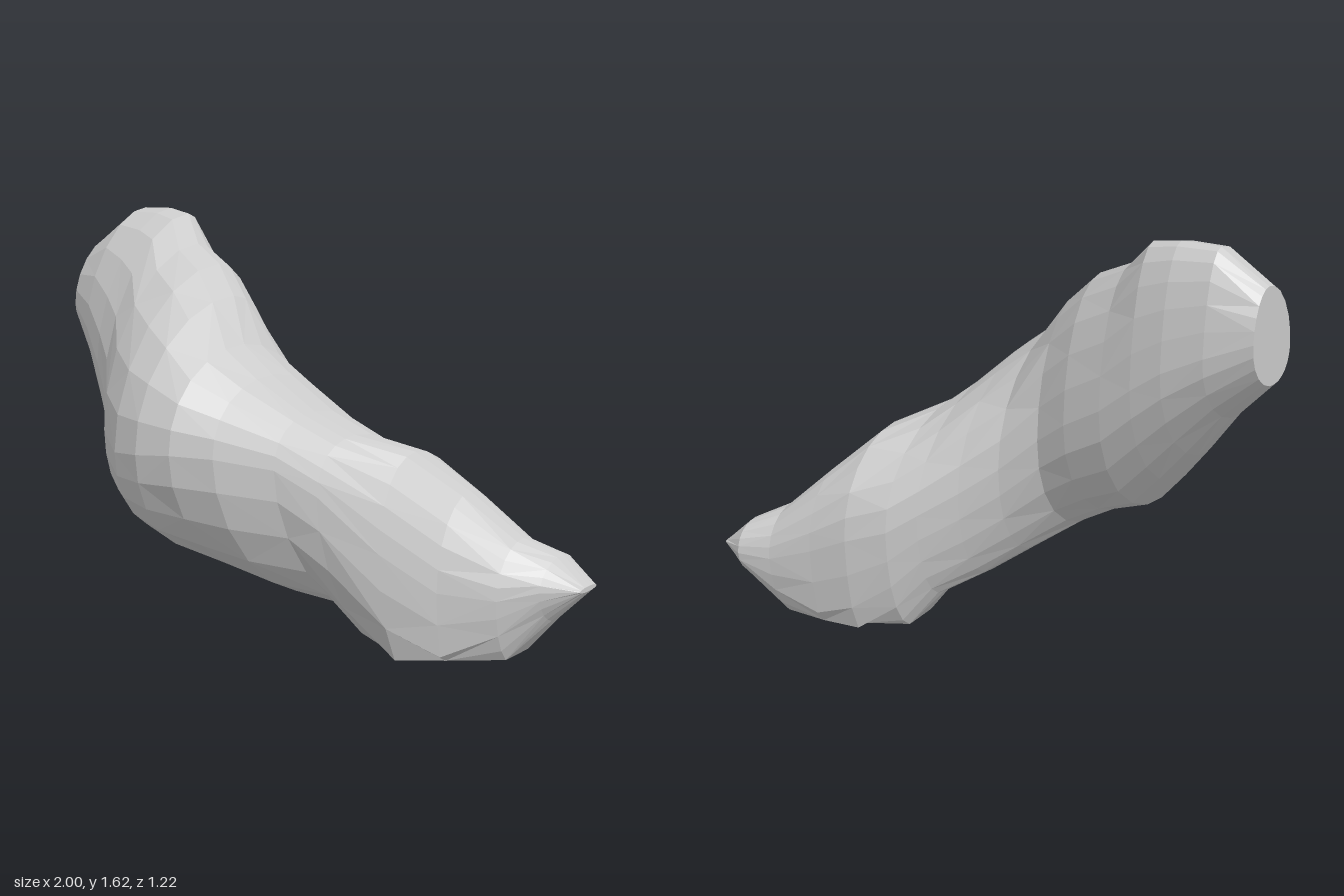
import * as THREE from 'three';

// Cross-sections along x. After x come the extents (lowest y, highest y, back z, front z),
// then where the outline touches them (z at top, y at front, z at bottom, y at back)
const SECTIONS = [
  [-1.0, 1.14, 1.5, -0.2, 0.11, -0.1, 1.24, 0.0, 1.33],
  [-0.85, 0.98, 1.62, -0.25, 0.195, -0.15, 1.16, 0.07, 1.27],
  [-0.71, 0.79, 1.62, -0.27, 0.28, -0.15, 1.04, 0.14, 1.2],
  [-0.6, 0.65, 1.6, -0.27, 0.355, -0.13, 0.94, 0.19, 1.12],
  [-0.48, 0.51, 1.49, -0.26, 0.48, -0.05, 0.83, 0.24, 1.02],
  [-0.33, 0.45, 1.42, -0.24, 0.58, 0.0, 0.78, 0.26, 0.93],
  [-0.2, 0.38, 1.31, -0.2, 0.61, 0.07, 0.79, 0.21, 0.83],
  [-0.06, 0.29, 1.15, -0.24, 0.59, 0.18, 0.8, 0.04, 0.7],
  [0.07, 0.2, 1.05, -0.31, 0.51, 0.18, 0.79, -0.08, 0.6],
  [0.2, 0.13, 0.92, -0.39, 0.335, 0.1, 0.74, -0.22, 0.51],
  [0.3, -0.02, 0.83, -0.45, 0.22, -0.01, 0.64, -0.27, 0.44],
  [0.45, -0.2, 0.76, -0.505, 0.05, -0.18, 0.42, -0.3, 0.39],
  [0.6, -0.25, 0.61, -0.53, -0.1, -0.32, 0.27, -0.33, 0.32],
  [0.77, -0.04, 0.44, -0.57, -0.23, -0.42, 0.24, -0.39, 0.26],
  [0.89, 0.14, 0.38, -0.61, -0.33, -0.5, 0.27, -0.46, 0.27],
  [1.0, 0.26, 0.28, -0.56, -0.43, -0.5, 0.27, -0.5, 0.27],
];
const ARC = 6;
const SIDES = ARC * 4;

// Oval in the y-z plane made of four conic arcs between its touching points
function oval([, y0, y1, z0, z1, zTop, yFront, zBottom, yBack]) {
  const touch = [[y1, zTop], [yFront, z1], [y0, zBottom], [yBack, z0]];
  const corners = [[y1, z1], [y0, z1], [y0, z0], [y1, z0]];
  const points = [];
  corners.forEach((corner, q) => {
    const from = touch[q], to = touch[(q + 1) % 4];
    // Long arcs are flatter, as on a slanting ellipse
    const span = Math.abs(to[0] - from[0]) / (y1 - y0) + Math.abs(to[1] - from[1]) / (z1 - z0);
    const weight = Math.sqrt(Math.max(0.05, 1 - span / 2));
    for (let j = 0; j < ARC; j++) {
      const u = j / ARC;
      const a = (1 - u) ** 2, b = 2 * weight * u * (1 - u), c = u * u;
      points.push([0, 1].map((k) => (a * from[k] + b * corner[k] + c * to[k]) / (a + b + c)));
    }
  });
  return points;
}

function bentTube() {
  const positions = [], index = [];
  // The foot is cut flat at the ground
  for (const section of SECTIONS) {
    for (const [y, z] of oval(section)) positions.push(section[0], Math.max(0, y), z);
  }
  // Faceted wall with alternating diagonals
  for (let i = 0; i < SECTIONS.length - 1; i++) {
    for (let j = 0; j < SIDES; j++) {
      const k = (j + 1) % SIDES;
      const a = i * SIDES + j, b = i * SIDES + k;
      const c = a + SIDES, d = b + SIDES;
      if ((i + j) % 2 === 0) index.push(a, b, c, b, d, c);
      else index.push(a, b, d, a, d, c);
    }
  }
  // Flat end caps
  const last = (SECTIONS.length - 1) * SIDES;
  for (let j = 1; j < SIDES - 1; j++) {
    index.push(0, j + 1, j);
    index.push(last, last + j, last + j + 1);
  }
  const geometry = new THREE.BufferGeometry();
  geometry.setAttribute('position', new THREE.Float32BufferAttribute(positions, 3));
  geometry.setIndex(index);
  geometry.computeVertexNormals();
  return geometry;
}

export function createModel() {
  const group = new THREE.Group();
  group.name = 'bentTubeModel';
  const material = new THREE.MeshStandardMaterial({ color: 0xcccccc, flatShading: true });
  const body = new THREE.Mesh(bentTube(), material);
  body.name = 'bentTube';
  group.add(body);
  return group;
}
